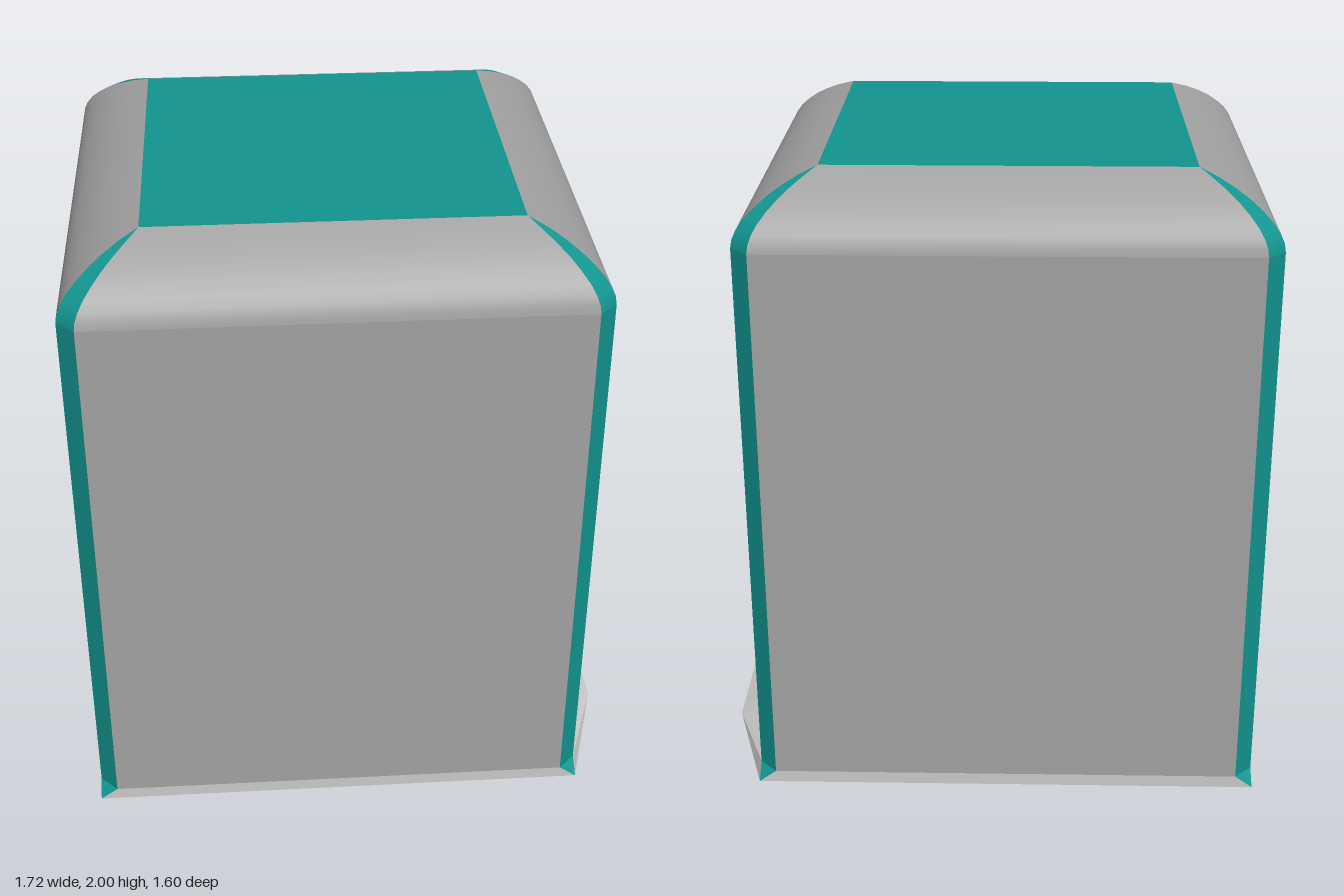
import * as THREE from 'three';
import { ConvexGeometry } from 'three/addons/geometries/ConvexGeometry.js';

const HALF = 0.8, BASE = 0.04, EAVE = 1.8, CUT = 0.055, RIM = 0.24;
const DOOR_W = 0.285, DOOR_TOP = 1.085, DOOR_DEPTH = 0.04;

const mat = (color, extra = {}) => new THREE.MeshStandardMaterial({ color, ...extra });
const light = mat(0xcccccc);
const lightFlat = mat(0xcccccc, { flatShading: true });
const wallGrey = mat(0xa3a3a3);
const jambGrey = mat(0xa3a3a3, { flatShading: true, side: THREE.DoubleSide });
const teal = mat(0x129590);
const navy = mat(0x232c40);
const brown = mat(0x5c4622);

// Skin between rows of [left, right] points, listed from bottom to top
function strip(rows) {
  const index = [];
  for (let i = 0; i < rows.length - 1; i++) {
    const a = i * 2;
    index.push(a, a + 1, a + 3, a, a + 3, a + 2);
  }
  const g = new THREE.BufferGeometry();
  g.setAttribute('position', new THREE.Float32BufferAttribute(rows.flat(2), 3));
  g.setIndex(index);
  g.computeVertexNormals();
  return g;
}

// Levels are [inset, height, corner cut]
const baseLevels = [[0, 0, 0], [0, BASE, CUT]];
const wallLevels = [[0, BASE, CUT], [0, EAVE, CUT]];
const roofLevels = [[0, 1.8], [0.004, 1.825], [0.015, 1.85], [0.035, 1.878], [0.065, 1.907],
  [0.1, 1.934], [0.14, 1.958], [0.185, 1.98], [RIM, 2]]
  .map(([i, y]) => [i, y, CUT * Math.pow(1 - i / RIM, 0.8)]);

const panel = levels => strip(levels.map(([i, y, c]) => {
  const h = HALF - i;
  return [[-(h - c), y, h], [h - c, y, h]];
}));
const corner = levels => strip(levels.map(([i, y, c]) => {
  const h = HALF - i;
  return [[h - c, y, h], [h, y, h - c]];
}));

function doorWall() {
  const w = HALF - CUT;
  const s = new THREE.Shape([
    [-w, BASE], [-DOOR_W, BASE], [-DOOR_W, DOOR_TOP], [DOOR_W, DOOR_TOP],
    [DOOR_W, BASE], [w, BASE], [w, EAVE], [-w, EAVE],
  ].map(p => new THREE.Vector2(...p)));
  return new THREE.ShapeGeometry(s).translate(0, 0, HALF);
}

function add(parent, name, geometry, material) {
  const m = new THREE.Mesh(geometry, material);
  m.name = name;
  parent.add(m);
  return m;
}

// Recessed door, threshold ramp and the two triangular windows
function addEntrance(side) {
  const back = HALF - DOOR_DEPTH;
  const door = new THREE.PlaneGeometry(DOOR_W * 2, DOOR_TOP - BASE);
  add(side, 'door', door.translate(0, (DOOR_TOP + BASE) / 2, back), light);

  const outline = [[-DOOR_W, BASE], [-DOOR_W, DOOR_TOP], [DOOR_W, DOOR_TOP], [DOOR_W, BASE]];
  const jamb = strip(outline.map(([x, y]) => [[x, y, HALF], [x, y, back]]));
  add(side, 'doorFrame', jamb, jambGrey);

  const sill = new THREE.PlaneGeometry(DOOR_W * 2, DOOR_DEPTH).rotateX(-Math.PI / 2);
  add(side, 'doorSill', sill.translate(0, BASE, HALF - DOOR_DEPTH / 2), light);

  const ramp = [];
  for (const s of [-1, 1]) {
    for (const [x, y, z] of [[0.8, 0, 0.8], [0.4, 0, 0.92], [0.745, BASE, 0.8], [0.44, BASE, 0.84]]) {
      ramp.push(new THREE.Vector3(s * x, y, z));
    }
  }
  add(side, 'doorRamp', new ConvexGeometry(ramp), lightFlat);

  for (const [name, base, tip] of [['upperWindow', 1.413, 1.52], ['lowerWindow', 1.393, 1.285]]) {
    const tri = new THREE.Shape([
      new THREE.Vector2(-0.06, base), new THREE.Vector2(0.06, base), new THREE.Vector2(0, tip),
    ]);
    const g = new THREE.ExtrudeGeometry(tri, { depth: 0.02, bevelEnabled: false });
    add(side, name, g.translate(0, 0, HALF), [navy, brown]);
  }
}

export function createModel() {
  const model = new THREE.Group();
  model.name = 'hut';
  const body = new THREE.Group();
  body.name = 'body';
  body.position.x = -0.06;
  model.add(body);

  // Four matching sides; the second one holds the door
  for (let k = 0; k < 4; k++) {
    const side = new THREE.Group();
    side.name = ['frontSide', 'doorSide', 'backSide', 'plainSide'][k];
    side.rotation.y = k * Math.PI / 2;
    body.add(side);
    add(side, 'skirting', panel(baseLevels), light);
    add(side, 'wall', k === 1 ? doorWall() : panel(wallLevels), wallGrey);
    add(side, 'roofCurve', panel(roofLevels), wallGrey);
    add(side, 'cornerFoot', corner(baseLevels), teal);
    add(side, 'cornerPost', corner(wallLevels), teal);
    add(side, 'cornerRib', corner(roofLevels), teal);
    if (k === 1) addEntrance(side);
  }

  // Flat roof and underside
  const top = (HALF - RIM) * 2;
  add(body, 'roofTop', new THREE.PlaneGeometry(top, top).rotateX(-Math.PI / 2).translate(0, 2, 0), teal);
  add(body, 'underside', new THREE.PlaneGeometry(HALF * 2, HALF * 2).rotateX(Math.PI / 2), light);
  return model;
}
